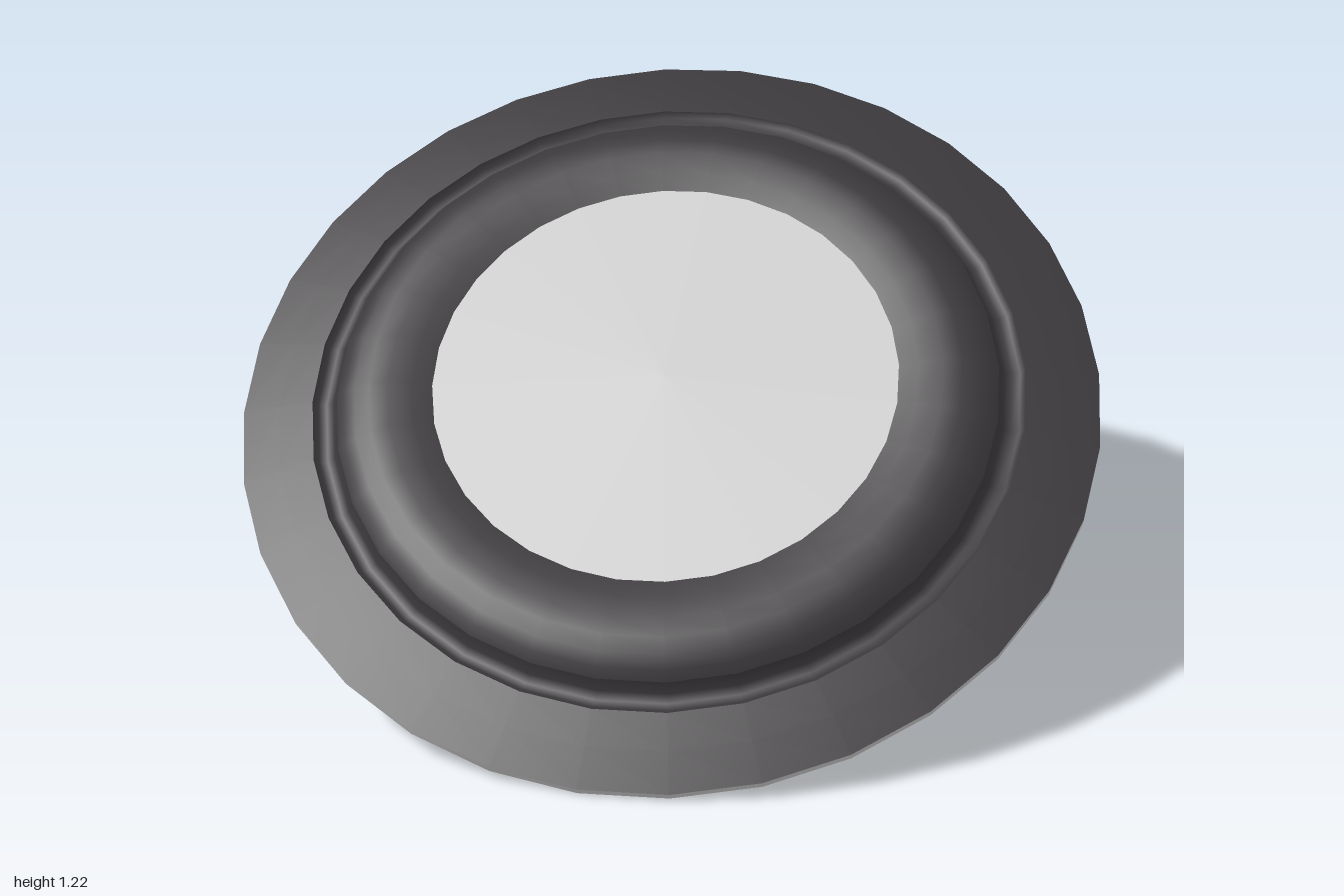
import * as THREE from 'three';

const SIDES = 32;

function material(color) {
  return new THREE.MeshStandardMaterial({ color, side: THREE.DoubleSide });
}

// Spins a [radius, height] profile around the disc axis
function turned(name, profile, mat) {
  const points = profile.map(([r, h]) => new THREE.Vector2(r, h));
  const mesh = new THREE.Mesh(new THREE.LatheGeometry(points, SIDES), mat);
  mesh.name = name;
  return mesh;
}

export function createModel() {
  const dark = material(0x3a373a);
  const domeMat = material(0x424342);
  const light = material(0xcccccc);

  const disc = new THREE.Group();
  disc.name = 'disc';

  // Underside: two shallow cones with a small step between them
  disc.add(turned('underRim', [[0.79, -0.05], [1.076, -0.01]], dark));
  disc.add(turned('underStep', [[0.79, -0.055], [0.79, -0.05]], light));
  disc.add(turned('underPlate', [[0.5, -0.079], [0.79, -0.055]], dark));

  // Raised lip around the bottom dome
  disc.add(turned('lipWall', [[0.498, -0.088], [0.5, -0.079]], light));
  disc.add(turned('lip', [[0.472, -0.08], [0.485, -0.093], [0.498, -0.088]], dark));

  // Bottom dome
  const dome = [];
  for (let i = 0; i <= 10; i++) {
    const t = i / 10;
    dome.push([0.475 * t, -0.08 - 0.085 * (1 - t * t)]);
  }
  disc.add(turned('bottomDome', dome, domeMat));

  // Thin outer edge
  disc.add(turned('outerEdge', [[1.076, -0.01], [1.076, 0.01]], light));

  // Upper rim, sloping up to the groove
  disc.add(turned('upperRim', [[1.076, 0.01], [0.98, 0.032], [0.892, 0.047]], dark));

  // Rounded groove
  disc.add(turned('groove', [[0.892, 0.047], [0.88, 0.032], [0.86, 0.026], [0.84, 0.036], [0.826, 0.068]], dark));

  // Rolled cushion around the centre plate
  disc.add(turned('innerRing', [
    [0.826, 0.068], [0.805, 0.087], [0.775, 0.104], [0.735, 0.115],
    [0.69, 0.117], [0.63, 0.108], [0.58, 0.095],
  ], dark));

  // Flat centre plate
  disc.add(turned('centrePlate', [[0.58, 0.095], [0, 0.095]], light));

  // Turn the sides, then tilt the whole disc
  const axis = new THREE.Vector3(-0.417, 0.83, 0.373).normalize();
  const up = new THREE.Vector3(0, 1, 0);
  disc.quaternion.setFromUnitVectors(up, axis)
    .multiply(new THREE.Quaternion().setFromAxisAngle(up, 0.06));
  disc.position.y = 0.61;

  const model = new THREE.Group();
  model.name = 'tiltedDisc';
  model.add(disc);
  return model;
}
